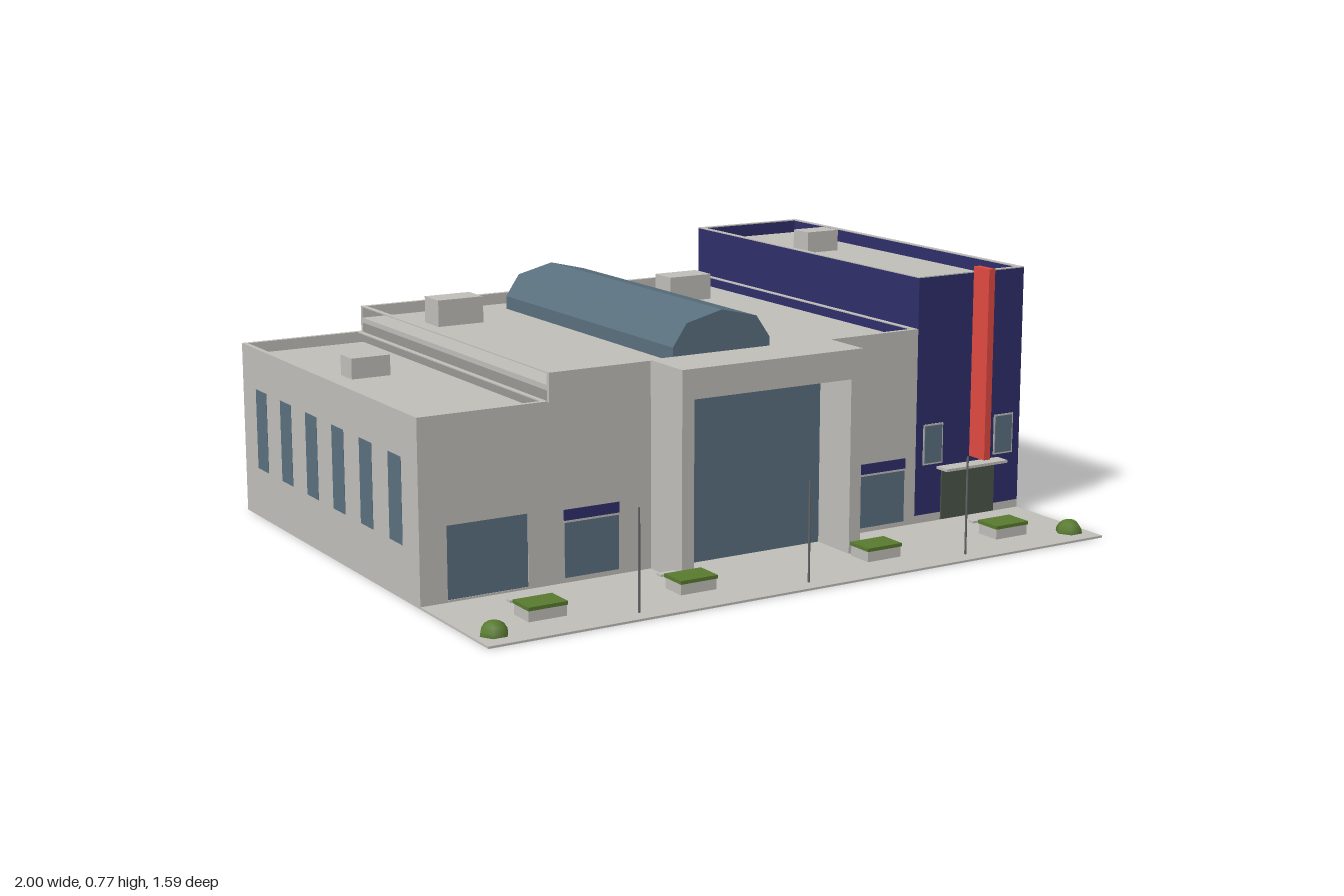
import * as THREE from 'three';

const mat = (name, color) => {
  const m = new THREE.MeshStandardMaterial({ color });
  m.name = name;
  return m;
};

export function createModel() {
  const concrete = mat('concrete', 0xc0beb9);
  const blue = mat('navy cladding', 0x2e2e6b);
  const glass = mat('glass', 0x5a707e);
  const red = mat('red fin', 0xe04a40);
  const green = mat('foliage', 0x587a2f);
  const doorMat = mat('dark door', 0x4a5549);
  const metal = mat('grey metal', 0x66686a);

  const root = new THREE.Group();
  root.name = 'building';
  const add = (name, geo, m, parent = root) => {
    const mesh = new THREE.Mesh(geo, m);
    mesh.name = name;
    parent.add(mesh);
    return mesh;
  };
  // Box given by its limits on each axis
  const box = (name, m, x0, x1, y0, y1, z0, z1, parent = root) => {
    const mesh = add(name, new THREE.BoxGeometry(x1 - x0, y1 - y0, z1 - z0), m, parent);
    mesh.position.set((x0 + x1) / 2, (y0 + y1) / 2, (z0 + z1) / 2);
  };
  const group = (name) => {
    const g = new THREE.Group();
    g.name = name;
    root.add(g);
    return g;
  };

  const FRONT = 0.41, BACK = -0.79, T = 0.012;
  const X0 = 0.607, X1 = 0.994, H = 0.739;

  // Front wall with one rectangular opening [x0, x1, y0, y1]
  const frontWall = (name, x0, x1, h, opening, parent) => {
    const rect = (P, a, b, c, d) => {
      const p = new P();
      p.moveTo(a, c); p.lineTo(b, c); p.lineTo(b, d); p.lineTo(a, d); p.closePath();
      return p;
    };
    const shape = rect(THREE.Shape, x0, x1, 0, h);
    shape.holes.push(rect(THREE.Path, ...opening));
    const geo = new THREE.ExtrudeGeometry(shape, { depth: T, bevelEnabled: false });
    add(name, geo, concrete, parent).position.z = FRONT - T;
  };
  // Thin capping strips around the top of a roof
  const coping = (x0, x1, y, parent) => {
    const w = 0.015, h = y + 0.003;
    box('copingFront', concrete, x0, x1, y, h, FRONT - w, FRONT, parent);
    box('copingBack', concrete, x0, x1, y, h, BACK, BACK + w, parent);
    box('copingLeft', concrete, x1 - w, x1, y, h, BACK + w, FRONT - w, parent);
    box('copingRight', concrete, x0, x0 + w, y, h, BACK + w, FRONT - w, parent);
  };

  // Paved forecourt
  box('forecourt', concrete, -1, X1, 0, 0.006, FRONT - 0.005, 0.797);

  // Low wing on the model's right
  const low = group('lowWing');
  frontWall('lowWingFront', -1, -0.612, 0.51, [-0.92, -0.68, 0.012, 0.215], low);
  box('lowWingWindow', glass, -0.92, -0.68, 0.012, 0.215, FRONT - 0.008, FRONT - 0.002, low);
  box('lowWingSide', concrete, -1, -1 + T, 0, 0.51, BACK, FRONT - T, low);
  box('lowWingBack', concrete, -1 + T, -0.612, 0, 0.51, BACK, BACK + T, low);
  box('lowWingRoof', concrete, -1 + T, -0.612, 0.465, 0.48, BACK + T, FRONT - T, low);
  coping(-1, -0.615, 0.51, low);
  for (let i = 0; i < 6; i++) {
    const z = -0.65 + i * 0.184;
    box('sideWindow', glass, -1.001, -0.998, 0.15, 0.39, z - 0.04, z + 0.04, low);
  }

  // Central hall
  const hall = group('hall');
  frontWall('hallFront', -0.612, X0, 0.587, [-0.292, 0.284, 0.006, 0.575], hall);
  box('hallBack', concrete, -0.612, X0, 0, 0.587, BACK, BACK + T, hall);
  box('hallRoof', concrete, -0.612, X0, 0.54, 0.555, BACK + T, FRONT - T, hall);
  coping(-0.612, X0, 0.587, hall);
  box('backDoor', doorMat, -0.057, 0.053, 0.006, 0.116, BACK - 0.007, BACK, hall);

  // Entrance portal with recessed glazing
  const portal = group('portal');
  box('portalPier', concrete, -0.298, -0.26, 0, 0.508, FRONT, 0.573, portal);
  box('portalPier', concrete, 0.254, 0.292, 0, 0.508, FRONT, 0.573, portal);
  box('portalLintel', concrete, -0.298, 0.292, 0.508, 0.592, FRONT, 0.573, portal);
  box('entranceGlass', glass, -0.26, 0.254, 0.006, 0.508, FRONT + 0.006, FRONT + 0.013, portal);

  // Skylight: faceted vault along the hall
  const vault = new THREE.Shape([
    [-0.163, 0.555], [0.159, 0.555], [0.159, 0.595], [0.114, 0.66],
    [-0.002, 0.688], [-0.118, 0.66], [-0.163, 0.595],
  ].map(([x, y]) => new THREE.Vector2(x, y)));
  add('skylight', new THREE.ExtrudeGeometry(vault, { depth: 0.995, bevelEnabled: false }), glass)
    .position.z = -0.69;

  // Shop windows with fascia bands
  for (const x of [-0.485, 0.482]) {
    box('shopWindow', glass, x - 0.084, x + 0.084, 0.02, 0.174, FRONT, FRONT + 0.002);
    box('shopSill', concrete, x - 0.086, x + 0.086, 0.174, 0.18, FRONT, FRONT + 0.003);
    box('shopFascia', blue, x - 0.086, x + 0.086, 0.18, 0.21, FRONT, FRONT + 0.003);
  }

  // Tall wing on the model's left
  const tall = group('tallWing');
  const ring = (name, m, y0, y1) => {
    box(name + 'Front', m, X0, X1, y0, y1, FRONT - T, FRONT, tall);
    box(name + 'Side', m, X1 - T, X1, y0, y1, BACK + T, FRONT - T, tall);
    box(name + 'Back', m, X0, X1, y0, y1, BACK, BACK + T, tall);
  };
  ring('tallWall', blue, 0.03, H);
  ring('plinth', concrete, 0, 0.03);
  box('tallInnerSide', blue, X0, X0 + T, 0.54, H, BACK + T, FRONT - T, tall);
  box('tallRoof', concrete, X0 + T, X1 - T, 0.685, 0.7, BACK + T, FRONT - T, tall);
  coping(X0, X1, H, tall);
  for (const x of [0.669, 0.932]) {
    box('towerWindowFrame', concrete, x - 0.036, x + 0.036, 0.18, 0.302, FRONT, FRONT + 0.002, tall);
    box('towerWindow', glass, x - 0.031, x + 0.031, 0.185, 0.297, FRONT + 0.001, FRONT + 0.004, tall);
  }
  box('towerDoor', doorMat, 0.702, 0.899, 0.008, 0.158, FRONT, FRONT + 0.005, tall);
  box('towerCanopy', concrete, 0.686, 0.914, 0.163, 0.171, FRONT, 0.459, tall);
  box('redFin', red, 0.806, 0.828, 0.188, 0.758, FRONT, 0.481, tall);
  box('sideDoor', doorMat, X1, X1 + 0.006, 0.006, 0.116, 0.175, 0.238, tall);

  // Rooftop units [x0, x1, y0, y1, z0, z1]
  for (const u of [
    [-0.877, -0.757, 0.48, 0.54, -0.345, -0.27],
    [-0.483, -0.333, 0.555, 0.635, -0.607, -0.515],
    [0.33, 0.48, 0.555, 0.635, -0.607, -0.515],
    [0.752, 0.868, 0.7, 0.766, -0.446, -0.366],
  ]) box('roofUnit', concrete, ...u);

  // Planters, each with a bench behind
  for (const x of [-0.764, -0.306, 0.305, 0.76]) {
    box('planter', concrete, x - 0.056, x + 0.056, 0.006, 0.036, 0.592, 0.672);
    box('planterHedge', green, x - 0.058, x + 0.058, 0.036, 0.046, 0.589, 0.675);
    box('benchSeat', concrete, x - 0.046, x + 0.046, 0.025, 0.031, 0.53, 0.552);
  }

  // Corner shrubs
  for (const x of [-0.942, 0.939])
    add('shrub', new THREE.SphereGeometry(0.041, 6, 4, 0, Math.PI * 2, 0, Math.PI / 2), green)
      .position.set(x, 0.003, 0.715);

  // Light poles
  for (const x of [-0.535, -0.002, 0.533])
    add('lightPole', new THREE.CylinderGeometry(0.003, 0.003, 0.282, 6), metal)
      .position.set(x, 0.147, 0.746);

  return root;
}
